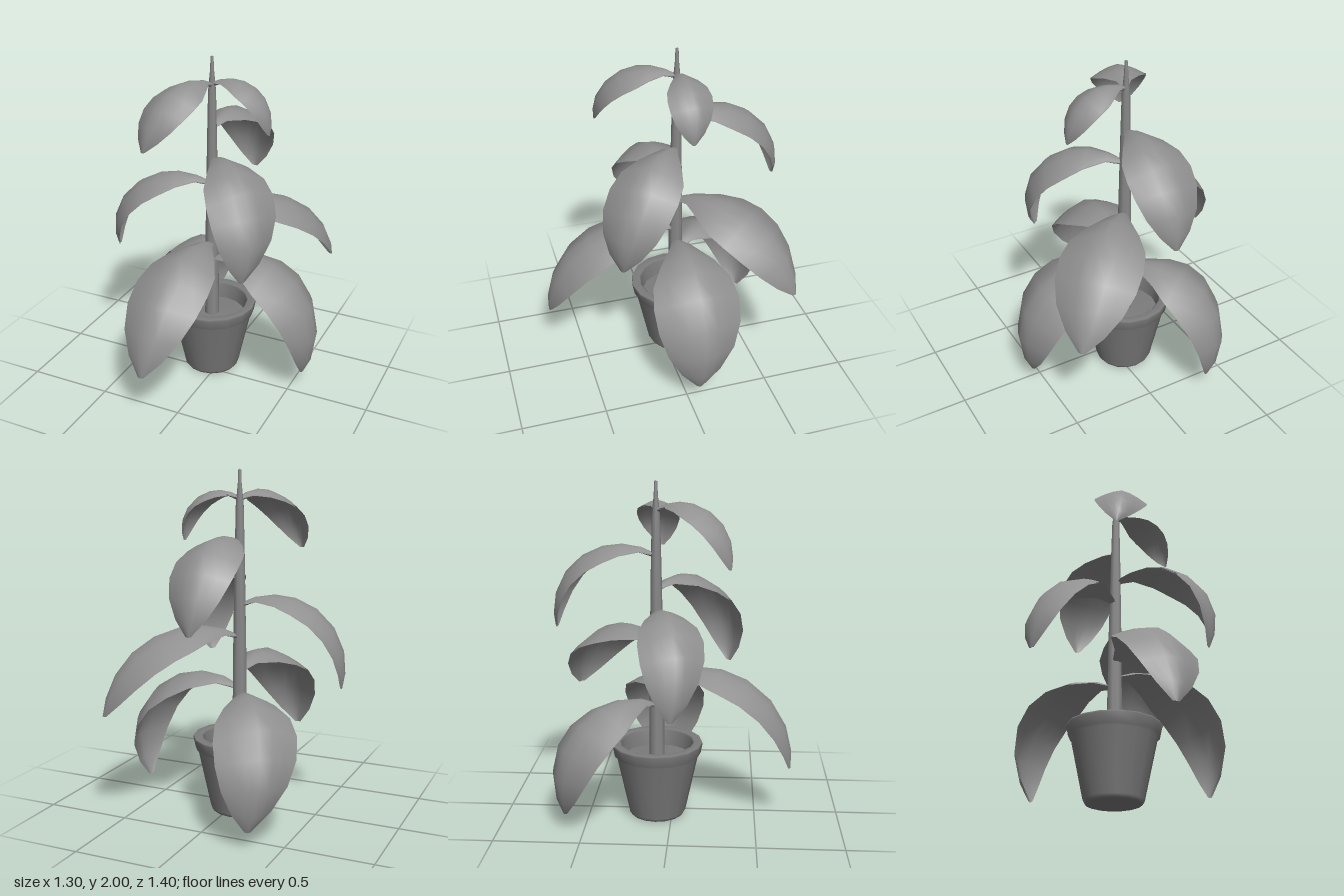
import * as THREE from 'three';

const potMaterial = new THREE.MeshStandardMaterial({ color: 0x7c7c7c });
const stemMaterial = new THREE.MeshStandardMaterial({ color: 0x888888 });
const leafMaterial = new THREE.MeshStandardMaterial({ color: 0x909090, side: THREE.DoubleSide });

// half-width of a leaf along its length, as a share of the widest point
const OUTLINE = [[0, 0.08], [0.1, 0.26], [0.22, 0.63], [0.34, 0.91], [0.48, 1], [0.63, 0.96],
  [0.78, 0.78], [0.91, 0.46], [1, 0.08]];

// Leaf whose midrib is a circular arc that rises, then droops; its edges fold down
// and its tip sways sideways.
function leafGeometry(reach, drop, halfWidth, sway) {
  const start = Math.PI / 6;
  const radius = reach / (1 + Math.sin(start));
  const end = -Math.acos(Math.max(-1, Math.cos(start) - drop / radius));
  const across = 6, row = across + 1;
  const positions = [], index = [];

  // top layer, then underside; separate vertices keep the rim sharp
  for (const side of [1, -1]) {
    const first = positions.length / 3;
    OUTLINE.forEach(([t, share], i) => {
      const h = start + (end - start) * t;
      const x = radius * (Math.sin(start) - Math.sin(h));
      const y = radius * (Math.cos(h) - Math.cos(start));
      const w = halfWidth * share;
      for (let j = 0; j <= across; j++) {
        const u = (j / across) * 2 - 1;
        const thick = side > 0 ? 0 : 0.006 + 0.02 * (1 - t) * (1 - u * u);
        const sink = 0.42 * w * Math.abs(u) ** 1.5 + thick;
        positions.push(x + Math.sin(h) * sink, y - Math.cos(h) * sink, u * w + sway * t * t);
        if (i && j) {
          const d = first + i * row + j, c = d - 1, b = d - row, a = b - 1;
          if (side > 0) index.push(a, b, c, b, d, c);
          else index.push(a, c, b, b, c, d);
        }
      }
    });
  }
  const geometry = new THREE.BufferGeometry();
  geometry.setAttribute('position', new THREE.Float32BufferAttribute(positions, 3));
  geometry.setIndex(index);
  geometry.computeVertexNormals();
  return geometry;
}

function lathe(name, profile, sides, material) {
  const points = profile.map(([r, y]) => new THREE.Vector2(r, y));
  const mesh = new THREE.Mesh(new THREE.LatheGeometry(points, sides), material);
  mesh.name = name;
  return mesh;
}

export function createModel() {
  const model = new THREE.Group();
  model.name = 'pottedPlant';
  const plant = new THREE.Group();
  plant.name = 'plant';
  plant.position.set(-0.053, 0, -0.09);
  model.add(plant);

  // tapered pot with an overhanging rim, and the soil inside
  plant.add(lathe('pot', [[0, 0], [0.14, 0], [0.16, 0.006], [0.172, 0.025], [0.248, 0.38],
    [0.262, 0.39], [0.274, 0.45], [0.27, 0.46], [0.225, 0.46], [0.215, 0.45], [0.205, 0.36]],
  16, potMaterial));
  plant.add(lathe('soil', [[0.21, 0.36], [0.1, 0.365], [0, 0.37]], 16, potMaterial));

  // tapering stem
  plant.add(lathe('stem', [[0.046, 0.34], [0.042, 0.9], [0.031, 1.5], [0.024, 1.8],
    [0.012, 1.92], [0.009, 1.995], [0, 2]], 8, stemMaterial));

  // leaves: heading in degrees (0 = +x, 90 = +z), base height, reach, drop, half-width, sway
  const leaves = [
    [91, 0.855, 0.8, 0.52, 0.225, 0.06],
    [1, 0.76, 0.697, 0.645, 0.255, 0.02],
    [232, 0.7, 0.65, 0.6, 0.235, 0.1],
    [-43, 1.06, 0.81, 0.41, 0.24, 0],
    [162, 1.245, 0.61, 0.47, 0.185, 0.07],
    [40, 1.395, 0.61, 0.53, 0.205, 0.08],
    [-87, 1.59, 0.605, 0.44, 0.19, 0],
    [109, 1.845, 0.48, 0.31, 0.16, 0.07],
    [-3, 1.85, 0.365, 0.26, 0.125, 0.03],
  ];
  leaves.forEach(([heading, y, ...shape], i) => {
    const leaf = new THREE.Mesh(leafGeometry(...shape), leafMaterial);
    leaf.name = `leaf${i + 1}`;
    leaf.position.y = y;
    leaf.rotation.y = -THREE.MathUtils.degToRad(heading);
    plant.add(leaf);
  });
  return model;
}
